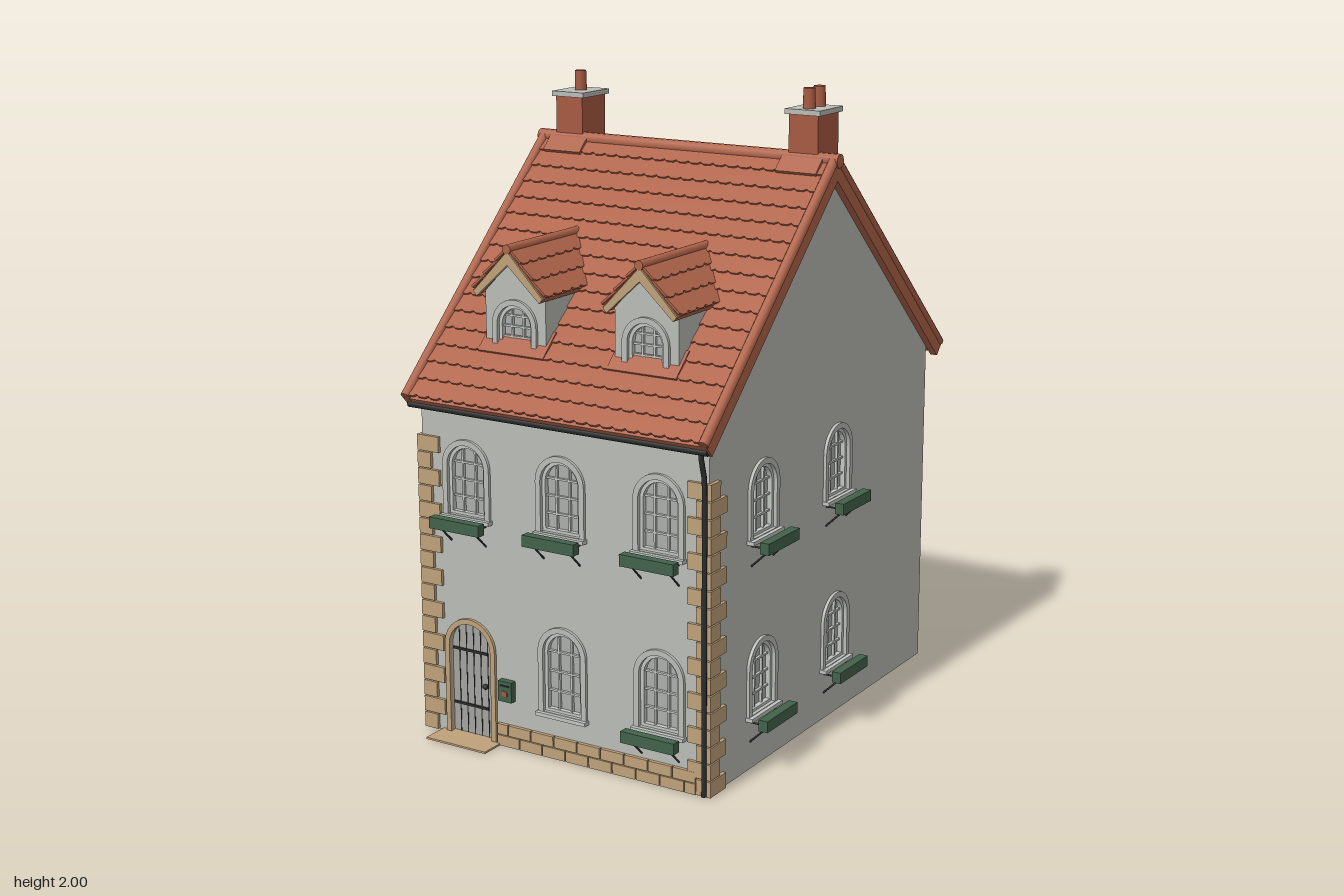
import * as THREE from 'three';

const mat = (name, color, side = THREE.FrontSide) => {
  const m = new THREE.MeshStandardMaterial({ color, side });
  m.name = name;
  return m;
};

export function createModel() {
  const house = new THREE.Group();
  house.name = 'house';
  const M = {
    wall: mat('render', 0xbabdb6), frame: mat('windowFrame', 0xc2c5c0), glass: mat('pane', 0xabaeaa),
    roof: mat('roofTile', 0xb0644a), brick: mat('chimneyBrick', 0xa65a42), stone: mat('sandstone', 0xbfa27b),
    green: mat('greenPaint', 0x42624a), iron: mat('darkIron', 0x2c2e2d), door: mat('doorWood', 0xa3a59f),
    inside: mat('interior', 0xa8946f),
  };
  const add = (parent, name, geo, m, x = 0, y = 0, z = 0) => {
    const mesh = new THREE.Mesh(geo, m);
    mesh.name = name;
    mesh.position.set(x, y, z);
    parent.add(mesh);
    return mesh;
  };
  const group = (parent, name, x = 0, y = 0, z = 0, ry = 0) => {
    const g = new THREE.Group();
    g.name = name;
    g.position.set(x, y, z);
    g.rotation.y = ry;
    parent.add(g);
    return g;
  };
  const box = (p, name, m, w, h, d, x, y, z) => add(p, name, new THREE.BoxGeometry(w, h, d), m, x, y, z);
  const extrude = (shape, depth) => new THREE.ExtrudeGeometry(shape, { depth, bevelEnabled: false, curveSegments: 12 });
  const poly = (pts) => new THREE.Shape(pts.map(([x, y]) => new THREE.Vector2(x, y)));
  const arch = (path, w, h, x = 0, y = 0) => {
    path.moveTo(x - w / 2, y);
    path.lineTo(x + w / 2, y);
    path.lineTo(x + w / 2, y + h - w / 2);
    path.absarc(x, y + h - w / 2, w / 2, 0, Math.PI, false);
    path.closePath();
    return path;
  };
  const archRing = (w, h, t, depth, bottom = t) => {
    const s = arch(new THREE.Shape(), w, h);
    s.holes.push(arch(new THREE.Path(), w - 2 * t, h - t - bottom, 0, bottom));
    return extrude(s, depth);
  };
  const rod = (p, name, m, a, b, r) => {
    const A = new THREE.Vector3(...a), B = new THREE.Vector3(...b), d = B.clone().sub(A);
    const c = add(p, name, new THREE.CylinderGeometry(r, r, d.length(), 10), m);
    c.position.copy(A).add(B).multiplyScalar(0.5);
    c.quaternion.setFromUnitVectors(new THREE.Vector3(0, 1, 0), d.normalize());
    return c;
  };

  // Arched window standing on the outer wall face (local z = 0)
  const makeWindow = (p, w, h, x, y, z, planter) => {
    const g = group(p, 'window', x, y, z);
    add(g, 'windowPane', extrude(arch(new THREE.Shape(), w, h), 0.006), M.glass, 0, 0, -0.024);
    add(g, 'windowFrame', archRing(w, h, 0.011, 0.016), M.frame, 0, 0, -0.018);
    add(g, 'windowSurround', archRing(w + 0.036, h + 0.018, 0.018, 0.014, 0.002), M.wall, 0, 0, -0.004);
    for (const k of [-1, 1]) box(g, 'verticalBar', M.frame, 0.006, h * 0.92, 0.01, k * w / 6, h * 0.46, -0.014);
    for (const k of [0.26, 0.5, 0.74]) box(g, 'crossBar', M.frame, w * 0.96, 0.006, 0.01, 0, h * k, -0.014);
    box(g, 'sill', M.frame, w + 0.045, 0.012, 0.03, 0, -0.006, 0.008);
    if (!planter) return;
    box(g, 'planterBox', M.green, 0.185, 0.036, 0.03, 0, -0.014, 0.06);
    for (const k of [-0.065, 0.065]) {
      rod(g, 'bracketArm', M.iron, [k, -0.022, 0], [k, -0.022, 0.06], 0.003);
      rod(g, 'bracketStrut', M.iron, [k, -0.085, 0], [k, -0.032, 0.055], 0.003);
    }
  };

  // Wall shell with window and door openings
  const W = 0.513, ZF = 0.685, ZB = -0.705, T = 0.035, ZR = -0.015;
  const openings = (shape, list) => {
    for (const [w, h, x, y] of list) shape.holes.push(arch(new THREE.Path(), w, h, x, y));
    return extrude(shape, T);
  };
  const OW = 0.138;
  const frontWins = [-0.345, 0, 0.345].map((x) => [OW, 0.225, x, 0.72]);
  frontWins.push([OW, 0.262, 0, 0.147], [OW, 0.237, 0.345, 0.172]);
  const doorHole = [0.16, 0.37, -0.345, 0.004];
  add(house, 'frontWall', openings(poly([[-W, 0], [W, 0], [W, 1.09], [-W, 1.09]]), [...frontWins, doorHole]), M.wall, 0, 0, ZF - T);
  frontWins.forEach(([w, h, x, y], i) => makeWindow(house, w, h, x, y, ZF, i !== 3));
  box(house, 'backWall', M.wall, 2 * W, 1.09, T, 0, 0.545, ZB + T / 2);
  for (const s of [1, -1]) {
    const side = group(house, s > 0 ? 'leftGable' : 'rightGable', s * W, 0, 0, s * Math.PI / 2);
    const pts = [[ZF, 0], [ZF, 1.1], [ZR, 1.757], [ZB, 1.1], [ZB, 0]].map(([z, y]) => [-s * z, y]);
    const wins = [0.38, -0.085].flatMap((z) => [[OW, 0.215, -s * z, 0.728], [OW, 0.215, -s * z, 0.173]]);
    add(side, 'gableWall', openings(poly(pts), wins), M.wall, 0, 0, -T);
    for (const [w, h, x, y] of wins) makeWindow(side, w, h, x, y, 0, true);
  }

  // Interior visible through the open base
  box(house, 'frontFloor', M.inside, 0.95, 0.02, 0.62, 0, 0.02, 0.34);
  box(house, 'partition', M.inside, 0.95, 0.5, 0.03, 0, 0.26, 0.03);
  box(house, 'ceiling', M.inside, 0.95, 0.03, 0.69, 0, 0.5, -0.325);
  box(house, 'alcove', M.inside, 0.3, 0.45, 0.34, -0.2, 0.275, -0.15);
  box(house, 'shelf', M.inside, 0.32, 0.1, 0.3, 0.3, 0.25, -0.13);

  // Scalloped tile courses; ridge on local y = 0, descending along -y
  const tiles = (p, width, length, rows, tileW) => {
    const pitch = length / rows, n = Math.round(width / tileW), tw = width / n;
    const s = new THREE.Shape();
    s.moveTo(width / 2, 0.004);
    s.lineTo(-width / 2, 0.004);
    for (let i = 0; i <= n; i++) {
      const x = -width / 2 + i * tw;
      s.lineTo(x, -pitch + 0.004);
      if (i < n) s.lineTo(x + tw * 0.25, -pitch - 0.003).lineTo(x + tw * 0.75, -pitch - 0.003);
    }
    s.closePath();
    const geo = extrude(s, 0.007);
    for (let r = 0; r < rows; r++) add(p, 'tileCourse', geo, M.roof, 0, -r * pitch, 0).rotation.x = -0.09;
  };

  // Main roof
  const rise = 0.71, run = 0.757, slope = Math.atan2(rise, run), len = Math.hypot(rise, run);
  const slab = extrude(poly([[-0.74, 1.08], [-0.72, 1.055], [0.015, 1.745], [0.755, 1.055], [0.775, 1.08], [0.015, 1.79]]), 1.06);
  add(house, 'roofSlab', slab, M.roof, -0.53, 0, 0).rotation.y = Math.PI / 2;
  const planes = [0, Math.PI].map((ry) => {
    const g = group(group(house, ry ? 'backRoof' : 'frontRoof', 0, 1.79, ZR, ry), 'slope');
    g.rotation.x = slope - Math.PI / 2;
    tiles(g, 1.06, len - 0.008, 16, 0.044);
    for (const k of [-1, 1]) {
      box(g, 'vergeBoard', M.roof, 0.024, len, 0.05, k * 0.525, -len / 2, -0.02);
      rod(g, 'vergeTile', M.roof, [k * 0.527, 0, 0.006], [k * 0.527, -len + 0.003, 0.006], 0.016);
    }
    return g;
  });
  rod(house, 'ridgeTiles', M.roof, [-0.545, 1.79, ZR], [0.545, 1.79, ZR], 0.022);

  // Dormers
  for (const x of [-0.233, 0.233]) {
    const d = group(house, 'dormer', x, 0, 0);
    const s = poly([[-0.11, 1.2], [0.11, 1.2], [0.11, 1.41], [0, 1.525], [-0.11, 1.41]]);
    s.holes.push(arch(new THREE.Path(), 0.125, 0.135, 0, 1.235));
    add(d, 'dormerWall', extrude(s, 0.33), M.wall, 0, 0, 0.245);
    makeWindow(d, 0.125, 0.135, 0, 1.235, 0.575, false);
    const chevron = (hw, lo, hi, t) => poly([[-hw, lo], [-hw + 0.012, lo - 0.014], [0, hi - t], [hw - 0.012, lo - 0.014], [hw, lo], [0, hi]]);
    add(d, 'dormerRoof', extrude(chevron(0.13, 1.41, 1.545, 0.03), 0.36), M.roof, 0, 0, 0.248);
    add(d, 'bargeBoard', extrude(chevron(0.126, 1.408, 1.54, 0.042), 0.012), M.stone, 0, 0, 0.602);
    const a = Math.atan2(0.135, 0.13);
    for (const k of [-1, 1]) {
      const g = group(group(d, 'dormerSlope', 0, 1.545, 0.427, k * Math.PI / 2), 'dormerTiles');
      g.rotation.x = a - Math.PI / 2;
      tiles(g, 0.37, 0.187, 3, 0.045);
    }
    rod(d, 'dormerRidge', M.roof, [0, 1.546, 0.23], [0, 1.546, 0.617], 0.015);
    box(planes[0], 'dormerApron', M.roof, 0.24, 0.1, 0.014, x, -0.79, 0.008);
  }

  // Chimneys: one pot on the right stack, two on the left
  for (const [x, pots] of [[-0.425, [-0.068]], [0.425, [-0.1, -0.036]]]) {
    const c = group(house, 'chimney', x, 0, 0);
    box(c, 'stack', M.brick, 0.1, 0.27, 0.13, 0, 1.79, -0.066);
    box(c, 'cap', M.wall, 0.12, 0.016, 0.148, 0, 1.93, -0.066);
    for (const z of pots) add(c, 'chimneyPot', new THREE.CylinderGeometry(0.018, 0.02, 0.07, 16), M.brick, 0, 1.965, z);
    box(planes[0], 'chimneyFlashing', M.roof, 0.14, 0.07, 0.016, x, -0.035, 0.01);
    box(planes[1], 'chimneyFlashing', M.roof, 0.14, 0.2, 0.014, -x, -0.1, 0.005);
  }

  // Corner quoins and plinth stones
  const rows = 18, qh = 0.96 / rows;
  for (const k of [-1, 1]) {
    for (let i = 0; i < rows; i++) {
      const w = i % 2 ? 0.08 : 0.05, dz = i % 2 ? 0.055 : 0.09;
      box(house, 'quoin', M.stone, w, qh - 0.004, dz, k * (0.525 - w / 2), (i + 0.5) * qh, 0.696 - dz / 2);
    }
  }
  for (let r = 0; r < 2; r++) {
    for (let i = 0; i < 9; i++) {
      const x0 = Math.max(-0.245, -0.245 + (i - r * 0.5) * 0.085), x1 = Math.min(0.475, -0.245 + (i + 1 - r * 0.5) * 0.085);
      if (x1 - x0 > 0.01) box(house, 'plinthStone', M.stone, x1 - x0 - 0.004, 0.034, 0.02, (x0 + x1) / 2, 0.018 + r * 0.037, 0.687);
    }
  }

  // Front door with stone arch, step and ironwork
  const door = group(house, 'frontDoor', -0.345, 0, ZF);
  add(door, 'doorLeaf', extrude(arch(new THREE.Shape(), 0.16, 0.37), 0.014), M.door, 0, 0.004, -0.026);
  const surround = arch(new THREE.Shape(), 0.19, 0.39);
  surround.holes.push(arch(new THREE.Path(), 0.156, 0.37, 0, 0.003));
  add(door, 'doorSurround', extrude(surround, 0.012), M.stone, 0, 0, -0.002);
  for (let i = -2; i <= 2; i++) {
    const x = i * 0.027, h = 0.29 + Math.sqrt(0.0064 - x * x);
    box(door, 'plankGroove', M.iron, 0.003, h, 0.002, x, h / 2 + 0.004, -0.0115);
  }
  for (const y of [0.1, 0.28]) box(door, 'strapHinge', M.iron, 0.13, 0.008, 0.004, -0.012, y, -0.01);
  add(door, 'doorKnob', new THREE.SphereGeometry(0.009, 12, 8), M.iron, 0.048, 0.175, -0.004);
  box(house, 'doorStep', M.stone, 0.225, 0.006, 0.11, -0.347, 0.003, 0.72);

  // Letter box
  box(house, 'letterBox', M.green, 0.05, 0.066, 0.022, -0.205, 0.186, 0.696);
  box(house, 'letterBoxPlate', M.brick, 0.02, 0.016, 0.004, -0.205, 0.18, 0.708);
  box(house, 'letterBoxSlot', M.iron, 0.034, 0.005, 0.003, -0.205, 0.205, 0.708);

  // Gutter and downpipe
  rod(house, 'gutter', M.iron, [-0.53, 1.06, 0.722], [0.53, 1.06, 0.722], 0.011);
  const pipe = new THREE.CatmullRomCurve3([[1.06, 0.722], [1.03, 0.718], [0.98, 0.704], [0.93, 0.701], [0.5, 0.701], [0.005, 0.701]]
    .map(([y, z]) => new THREE.Vector3(0.506, y, z)));
  add(house, 'downpipe', new THREE.TubeGeometry(pipe, 40, 0.008, 8), M.iron);

  return house;
}
